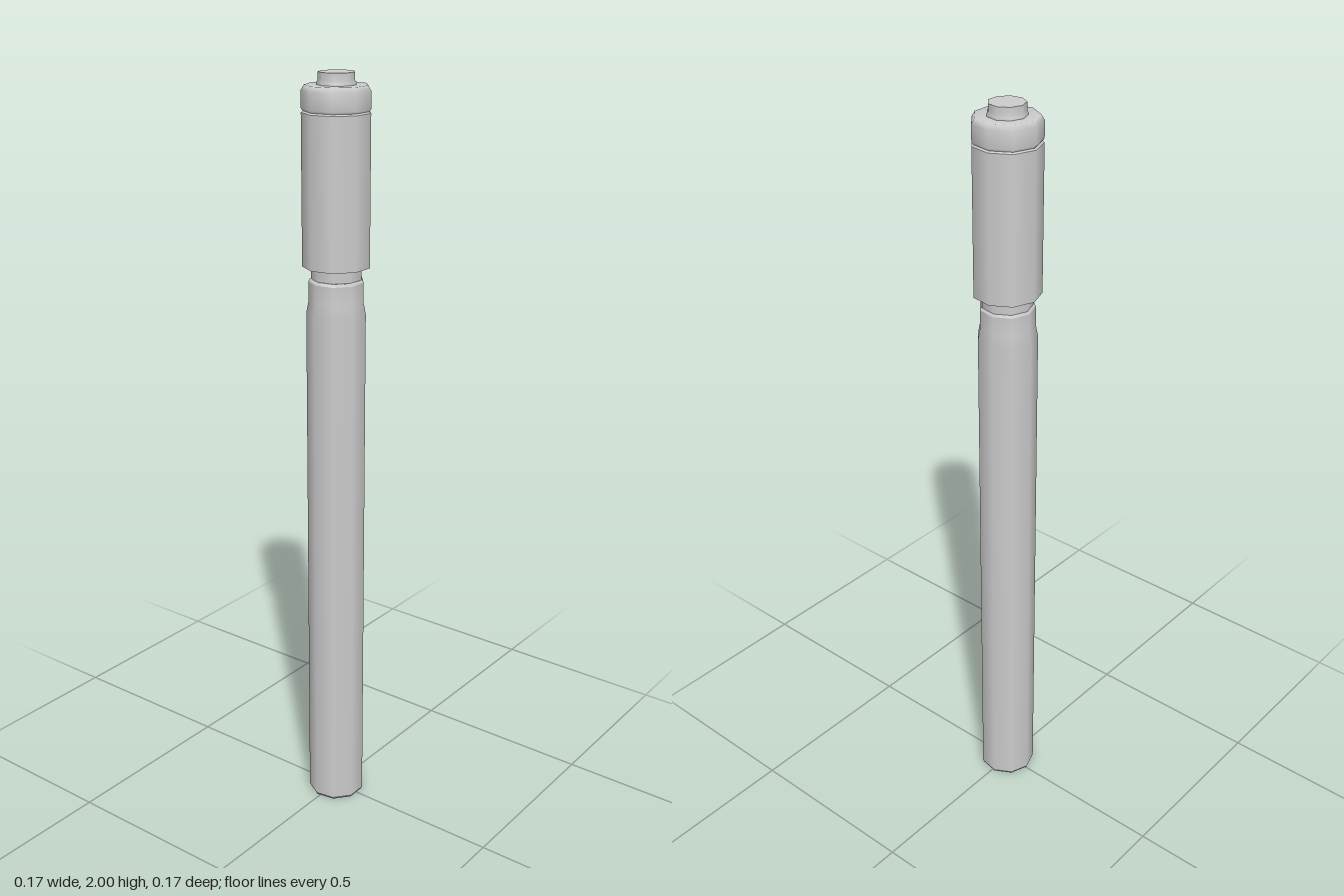
import * as THREE from 'three';

const SIDES = 9;

export function createModel() {
  const model = new THREE.Group();
  const material = new THREE.MeshStandardMaterial({ color: 0xcccccc });

  // Nine-sided turned part from [radius, height] pairs, bottom to top, one corner at the back
  const turned = (name, profile, x = 0, z = 0.0025) => {
    const points = profile.map(([r, y]) => new THREE.Vector2(r, y));
    const mesh = new THREE.Mesh(new THREE.LatheGeometry(points, SIDES, Math.PI), material);
    mesh.name = name;
    mesh.position.set(x, 0, z);
    model.add(mesh);
  };

  // Long barrel with a slightly eased base and a tapered shoulder
  turned('barrelBase', [[0, 0], [0.074, 0], [0.077, 0.006]], -0.002, 0.004);
  turned('barrel', [[0.077, 0.006], [0.077, 1.41], [0.071, 1.44], [0.071, 1.49]], -0.002, 0.004);
  turned('barrelRim', [[0.071, 1.49], [0.068, 1.497], [0, 1.497]], -0.002, 0.004);

  // Narrow neck between barrel and cap
  turned('neck', [[0.065, 1.495], [0.065, 1.53]]);

  // Wide cap sleeve
  turned('capUnderside', [[0, 1.528], [0.0866, 1.528]]);
  turned('capSleeve', [[0.0866, 1.528], [0.0866, 1.905]]);
  turned('capSleeveTop', [[0.0866, 1.905], [0.082, 1.909], [0, 1.909]]);

  // Collar with a bevelled top
  turned('collar', [[0.081, 1.907], [0.0866, 1.915], [0.0866, 1.957], [0.079, 1.97], [0.047, 1.97]]);

  // End button
  turned('buttonSide', [[0.049, 1.968], [0.049, 1.976], [0.046, 1.98], [0.046, 2]]);
  turned('buttonTop', [[0.046, 2], [0, 2]]);

  return model;
}
